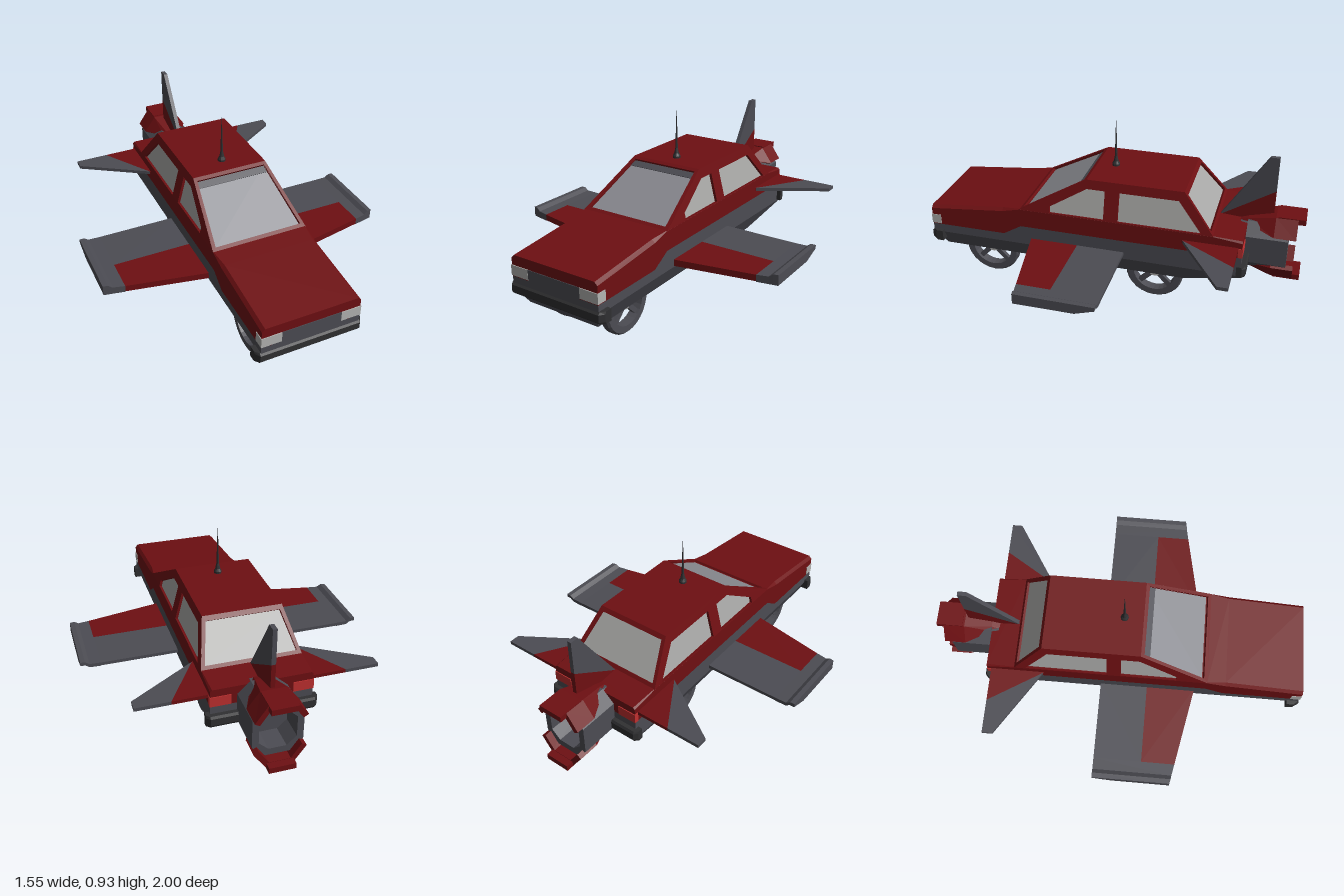
import * as THREE from 'three';

const V = (x, y, z) => new THREE.Vector3(x, y, z);
const mat = (color) => new THREE.MeshStandardMaterial({ color, flatShading: true });

// Solid skinned through matching closed loops of points, capped at both ends
function loft(loops) {
  const n = loops[0].length, tris = [];
  for (let i = 0; i < loops.length - 1; i++) {
    for (let j = 0; j < n; j++) {
      const k = (j + 1) % n, a = loops[i], b = loops[i + 1];
      tris.push([a[j], a[k], b[k]], [a[j], b[k], b[j]]);
    }
  }
  [loops[0], loops[loops.length - 1]].forEach((loop, end) => {
    // flatten the cap on its own plane
    const nrm = V(0, 0, 0);
    loop.forEach((p, j) => nrm.add(p.clone().cross(loop[(j + 1) % n])));
    nrm.normalize();
    const u = loop[1].clone().sub(loop[0]).normalize(), v = nrm.clone().cross(u);
    const flat = loop.map((p) => new THREE.Vector2(p.dot(u), p.dot(v)));
    for (const [a, b, c] of THREE.ShapeUtils.triangulateShape(flat, [])) {
      tris.push(end ? [loop[a], loop[b], loop[c]] : [loop[c], loop[b], loop[a]]);
    }
  });
  // turn the faces outward
  const volume = tris.reduce((s, [a, b, c]) => s + a.dot(b.clone().cross(c)), 0);
  const pts = tris.flatMap(([a, b, c]) => (volume < 0 ? [a, c, b] : [a, b, c]));
  const geo = new THREE.BufferGeometry().setFromPoints(pts);
  geo.computeVertexNormals();
  return geo;
}

// Flat plate from an outline (counter-clockwise from outside), with window openings
function plate(outline, depth, holes = [], glassDrop = 0) {
  const o = outline[0], u = outline[1].clone().sub(o).normalize();
  const n = u.clone().cross(outline[2].clone().sub(o)).normalize(), v = n.clone().cross(u);
  const flat = (pts) => pts.map((p) => {
    const d = p.clone().sub(o);
    return new THREE.Vector2(d.dot(u), d.dot(v));
  });
  const place = new THREE.Matrix4().makeBasis(u, v, n).setPosition(o);
  const shape = new THREE.Shape(flat(outline));
  shape.holes = holes.map((h) => new THREE.Path(flat(h)));
  const frame = new THREE.ExtrudeGeometry(shape, { depth, bevelEnabled: false });
  frame.translate(0, 0, -depth).applyMatrix4(place);
  const panes = holes.map((h) =>
    new THREE.ShapeGeometry(new THREE.Shape(flat(h))).translate(0, 0, -glassDrop).applyMatrix4(place));
  return { frame, panes };
}

export function createModel() {
  const car = new THREE.Group();
  const red = mat(0x6e0f12), grey = mat(0x4c4c53), dark = mat(0x303032);
  const glass = mat(0xa8a8a6), shield = mat(0x8a8b91), lamp = mat(0xb4b4b2), tail = mat(0xc03030);
  const add = (name, geo, material, parent = car) => {
    const m = new THREE.Mesh(geo, material);
    m.name = name;
    parent.add(m);
    return m;
  };
  const box = (name, x0, x1, y0, y1, z0, z1, material) =>
    add(name, new THREE.BoxGeometry(x1 - x0, y1 - y0, z1 - z0)
      .translate((x0 + x1) / 2, (y0 + y1) / 2, (z0 + z1) / 2), material);

  // Lower body: z, bottom, top
  const W = 0.257;
  add('lowerBody', loft([
    [0.99, 0.25, 0.31], [0.94, 0.165, 0.31], [0.57, 0.165, 0.31],
    [0.48, 0.165, 0.37], [-0.42, 0.165, 0.37], [-0.71, 0.25, 0.37],
  ].map(([z, b, t]) => {
    const w = W - (0.262 - b) * 0.5;
    return [V(-w, b, z), V(w, b, z), V(W, 0.262, z), V(W, t, z), V(-W, t, z), V(-W, 0.262, z)];
  })), grey);

  // Upper body: z, bottom, top, edge chamfer
  add('upperBody', loft([
    [0.99, 0.31, 0.42, 0.016], [0.57, 0.31, 0.464, 0.016], [0.47, 0.37, 0.475, 0.003],
    [-0.56, 0.37, 0.475, 0.003], [-0.71, 0.37, 0.465, 0.01],
  ].map(([z, b, t, c]) => [
    V(-W, b, z), V(W, b, z), V(W, t - c, z), V(W - c, t, z), V(-W + c, t, z), V(-W, t - c, z),
  ])), red);

  // Cabin: roof, windscreen, rear window
  const R = 0.205, low = 0.473, top = 0.675;
  add('roof', plate([V(-R, top, 0.11), V(R, top, 0.11), V(R, top, -0.4), V(-R, top, -0.4)], 0.02).frame, red);
  const addPlate = (name, p, pane) => {
    add(name + 'Frame', p.frame, red);
    p.panes.forEach((g) => add(name + 'Glass', g, pane));
  };
  const slope = (y, z0, z1) => z0 + (z1 - z0) * (y - 0.475) / 0.2;
  const ends = [
    ['windscreen', 1, 0.47, 0.11, 0.485, 0.665, shield],
    ['rearWindow', -1, -0.56, -0.4, 0.49, 0.655, glass],
  ];
  for (const [name, s, z0, z1, y0, y1, pane] of ends) {
    const quad = (a, ya, b, yb) => [[-a, ya], [a, ya], [b, yb], [-b, yb]]
      .map(([x, y]) => V(x * s, y, slope(y, z0, z1)));
    addPlate(name, plate(quad(W, low, R, top), 0.02, [quad(0.235, y0, 0.19, y1)], 0.014), pane);
  }
  add('sunStrip', plate([[-0.194, 0.646], [0.194, 0.646], [0.19, 0.665], [-0.19, 0.665]]
    .map(([x, y]) => V(x, y - 0.01, slope(y, 0.47, 0.11) - 0.005)), 0.01).frame, grey);

  // Cabin sides, given as z, y
  const sideOutline = [[0.47, low], [-0.56, low], [-0.4, top], [0.11, top]];
  const sideWindows = [
    [[0.305, 0.478], [0.01, 0.478], [0.01, 0.627], [0.107, 0.627], [0.305, 0.51]],
    [[-0.065, 0.478], [-0.5, 0.478], [-0.375, 0.627], [-0.065, 0.627]],
  ];
  for (const s of [1, -1]) {
    const to3 = (pts) => {
      const q = pts.map(([z, y]) => V(s * (W - (W - R) * (y - 0.475) / 0.2), y, z));
      return s > 0 ? q : q.reverse();
    };
    addPlate('cabinSide', plate(to3(sideOutline), 0.02, sideWindows.map(to3), 0.014), glass);
  }

  // Lights and grille
  box('grille', -0.155, 0.155, 0.312, 0.368, 0.95, 0.993, grey);
  for (const s of [1, -1]) {
    const [a, b] = s > 0 ? [0.155, 0.26] : [-0.26, -0.155];
    box('headlight', a, b, 0.315, 0.368, 0.94, 0.994, lamp);
    box('tailLight', a, b, 0.372, 0.425, -0.714, -0.69, tail);
  }

  // Bumpers with cut corners
  const bumper = (name, zIn, zOut, y0, y1) => {
    const c = (zOut - zIn) * 0.4, h = (y1 - y0) * 0.2;
    const ring = (y, k) => [[-0.28, zIn], [0.28, zIn], [0.28, zOut - c], [0.262, zOut], [-0.262, zOut], [-0.28, zOut - c]]
      .map(([x, z]) => V(x, y, zIn + (z - zIn) * k));
    add(name, loft([ring(y0, 0.85), ring(y0 + h, 1), ring(y1 - h, 1), ring(y1, 0.85)]), dark);
  };
  bumper('frontBumper', 0.93, 0.998, 0.218, 0.278);
  bumper('rearBumper', -0.69, -0.738, 0.268, 0.33);

  // Wheels: open rim with crossed spokes
  const tyreProfile = [[0.112, -0.026], [0.146, -0.026], [0.155, -0.016], [0.155, 0.016], [0.146, 0.026],
    [0.112, 0.026], [0.112, -0.026]].map(([r, y]) => new THREE.Vector2(r, y));
  for (const x of [0.155, -0.155]) {
    for (const z of [0.685, -0.25]) {
      const wheel = new THREE.Group();
      wheel.name = 'wheel';
      wheel.position.set(x, 0.158, z);
      add('tyre', new THREE.LatheGeometry(tyreProfile, 28).rotateZ(Math.PI / 2), grey, wheel);
      for (const a of [1, -1]) {
        add('spoke', new THREE.BoxGeometry(0.022, 0.23, 0.026).rotateX(a * Math.PI / 4), grey, wheel);
      }
      add('hub', new THREE.CylinderGeometry(0.032, 0.032, 0.034, 12).rotateZ(Math.PI / 2), lamp, wheel);
      car.add(wheel);
    }
  }

  // Wings, built along x
  for (const s of [1, -1]) {
    const front = (x, zl, y0, y1) => [[0.155, y0], [zl, y0], [zl, y1], [0.155, y1]].map(([z, y]) => V(s * x, y, z));
    const back = (x) => [[0.155, 0.268], [0, 0.268], [-0.1, 0.284], [-0.1, 0.302], [0.155, 0.302]]
      .map(([z, y]) => V(s * x, y, z));
    add('wingFront', loft([front(0.24, 0.417, 0.268, 0.302), front(0.67, 0.333, 0.268, 0.302)]), red);
    add('wingBack', loft([back(0.24), back(0.67)]), grey);
    add('wingTip', loft([[0.67, 0.333, 0.302], [0.73, 0.321, 0.304], [0.752, 0.317, 0.32], [0.777, 0.312, 0.32]]
      .map(([x, zl, y]) => [[zl, 0.265], [0, 0.267], [-0.1, y - 0.02], [-0.1, y], [zl, y]]
        .map(([z, h]) => V(s * x, h, z)))), grey);

    // Tailplane
    const fin = (pts) => loft([0.411, 0.429].map((y) => pts.map(([x, z]) => V(s * x, y, z))));
    add('tailplaneRoot', fin([[0.24, -0.385], [0.24, -0.69], [0.435, -0.69], [0.262, -0.41]]), red);
    add('tailplaneTip', fin([[0.262, -0.41], [0.435, -0.69], [0.61, -0.69], [0.61, -0.635]]), grey);
  }

  // Upright tail fin
  const upright = (pts) => loft([-0.011, 0.011].map((x) => pts.map(([z, y]) => V(x, y, z))));
  add('tailFinBase', upright([[-0.56, 0.468], [-0.835, 0.64], [-0.835, 0.46]]), red);
  add('tailFin', upright([[-0.56, 0.468], [-0.79, 0.825], [-0.835, 0.825], [-0.835, 0.64]]), grey);

  // Eight-sided thruster with a hollow nozzle
  const cy = 0.345;
  const octagon = (k, z) => [[0.06, 0.135], [0.125, 0.075], [0.125, -0.075], [0.06, -0.135],
    [-0.06, -0.135], [-0.125, -0.075], [-0.125, 0.075], [-0.06, 0.135]].map(([x, y]) => V(x * k, cy + y * k, z));
  const nozzle = plate(octagon(1, -0.925), 0.215, [octagon(0.74, -0.925)], 0.13);
  add('nozzle', nozzle.frame, grey);
  add('nozzleCore', nozzle.panes[0], dark);
  add('nozzleMount', loft([octagon(0.9, -0.66), octagon(0.98, -0.8)]), grey);

  // Folded flaps above and below the nozzle
  for (const s of [1, -1]) {
    const flap = ([z, w2, y1, w1, y0, t]) => [[-w1, y0], [-w2, y1], [w2, y1], [w1, y0],
      [w1 - t * 0.8, y0 - t * 0.5], [w2 - t * 0.4, y1 - t], [-w2 + t * 0.4, y1 - t], [-w1 + t * 0.8, y0 - t * 0.5]]
      .map(([x, y]) => V(x, cy + s * y, z));
    add('nozzleFlap', loft([[-0.64, 0.03, 0.112, 0.045, 0.1, 0.02], [-0.71, 0.04, 0.138, 0.06, 0.118, 0.025],
      [-0.85, 0.065, 0.175, 0.128, 0.09, 0.03], [-0.962, 0.065, 0.178, 0.128, 0.09, 0.03]].map(flap)), red);
    const [a, b] = s > 0 ? [0.15, 0.18] : [-0.18, -0.15];
    box('flapTab', -0.066, 0.066, cy + a, cy + b, -1, -0.86, red);
  }

  // Aerial on the roof
  const aerial = [[0.021, 0.67], [0.021, 0.685], [0.013, 0.7], [0.007, 0.73], [0.004, 0.83], [0.001, 0.93]]
    .map(([r, y]) => new THREE.Vector2(r, y));
  add('aerial', new THREE.LatheGeometry(aerial, 10).translate(0, 0, 0.01), dark);

  return car;
}
